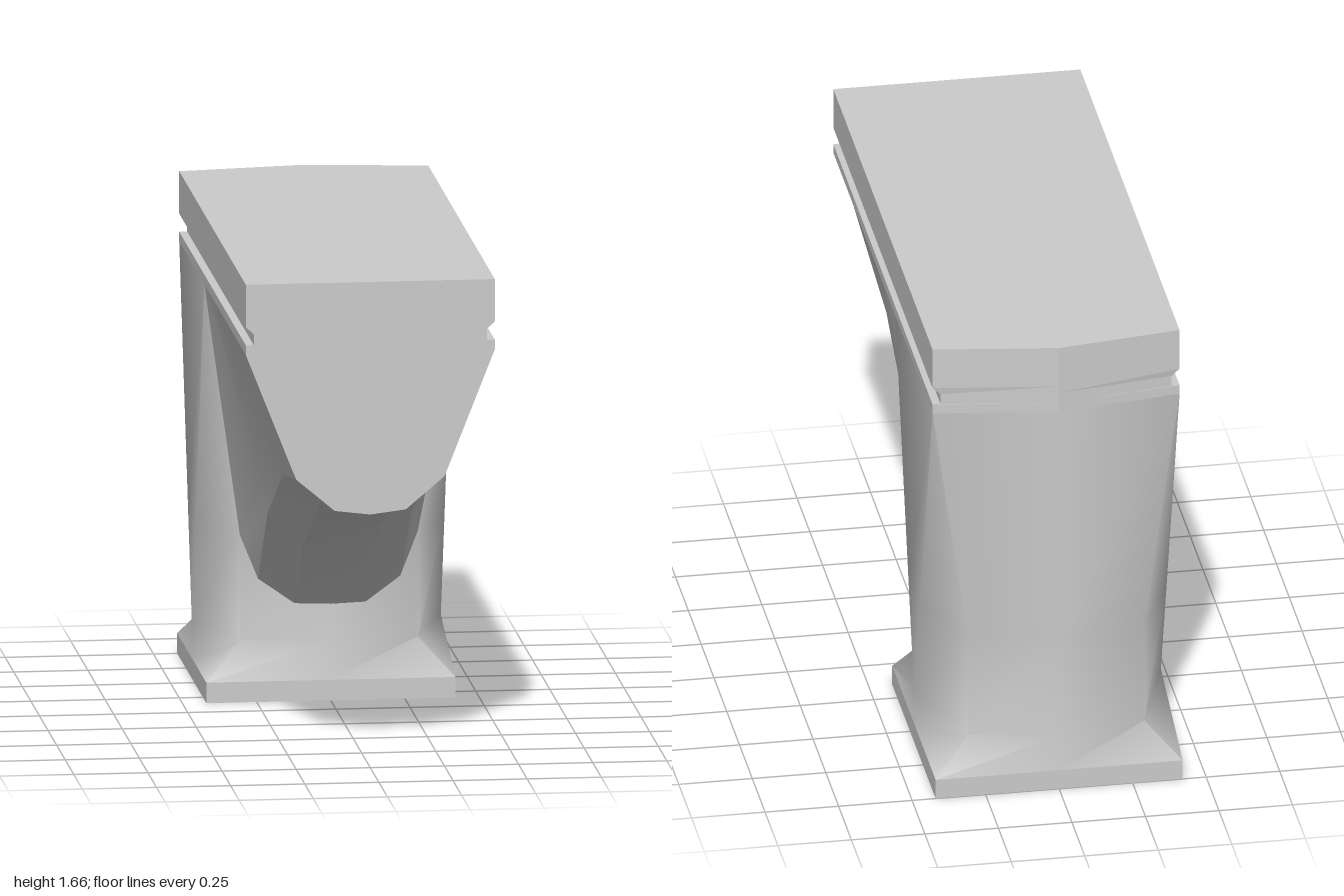
import * as THREE from 'three';
import { toCreasedNormals } from 'three/addons/utils/BufferGeometryUtils.js';

// Skin a stack of equal-length closed rings and cap the chosen ends
function loft(rings, capStart, capEnd, crease) {
  const pos = [];
  const tri = (a, b, c) => {
    const [A, B, C] = [a, b, c].map((p) => new THREE.Vector3(...p));
    if (B.sub(A).cross(C.sub(A)).length() > 1e-7) pos.push(...a, ...b, ...c);
  };
  const n = rings[0].length;
  for (let r = 0; r < rings.length - 1; r++) {
    for (let i = 0; i < n; i++) {
      const j = (i + 1) % n;
      const a = rings[r][i], b = rings[r][j], c = rings[r + 1][j], d = rings[r + 1][i];
      tri(a, b, c);
      tri(a, c, d);
    }
  }
  const first = rings[0], last = rings[rings.length - 1];
  for (let i = 1; i < n - 1; i++) {
    if (capStart) tri(first[0], first[i + 1], first[i]);
    if (capEnd) tri(last[0], last[i], last[i + 1]);
  }
  const geo = new THREE.BufferGeometry();
  geo.setAttribute('position', new THREE.Float32BufferAttribute(pos, 3));
  return toCreasedNormals(geo, crease);
}

export function createModel() {
  const group = new THREE.Group();
  const material = new THREE.MeshStandardMaterial({ color: 0xcccccc });
  const add = (name, geometry) => {
    const mesh = new THREE.Mesh(geometry, material);
    mesh.name = name;
    group.add(mesh);
    return mesh;
  };

  const W = 0.42, FRONT = -0.15, BACK = -1, CF = -0.21, CB = -0.94;
  const MID = (CF + CB) / 2;

  // Square foot slab
  add('foot', new THREE.BoxGeometry(2 * W, 0.07, FRONT - BACK))
    .position.set(0, 0.035, (FRONT + BACK) / 2);

  // Column: bowed faces whose sides flatten out towards the top
  const columnRing = (y, x, zf, zb, spread) => {
    const right = [[x, y, zf], [W, y, MID + spread], [W, y, MID - spread], [x, y, zb]];
    const left = right.map(([px, py, pz]) => [-px, py, pz]).reverse();
    return [[0, y, FRONT], ...right, [0, y, BACK], ...left];
  };
  const flat = (y) => ((CF - CB) / 2) * (y - 0.2) / 1.22;
  add('column', loft([
    columnRing(0.07, W, FRONT, BACK, 0),
    columnRing(0.2, 0.3, CF, CB, 0),
    columnRing(0.56, 0.3, CF, CB, flat(0.56)),
    columnRing(1.42, W, CF, CB, flat(1.42)),
  ], false, false, 1.2));

  // Half arch: each station lists the lower edge, underside and keel as [x, y, z]
  const stations = [
    [[0.3, 0.56, CF], [0.24, 0.41, -0.2], [0.12, 0.33, -0.174], [0, 0.33, FRONT]],
    [[0.27, 0.81, 0.12], [0.245, 0.7, 0.12], [0.12, 0.585, 0.09], [0, 0.575, 0.08]],
    [[0.275, 1.0, 0.61], [0.25, 0.93, 0.61], [0.12, 0.825, 0.59], [0, 0.81, 0.58]],
    [[0.276, 1.055, 1], [0.25, 0.99, 1], [0.12, 0.88, 1], [0, 0.865, 1]],
  ];
  const archRing = (pts) => {
    const half = [[W, 1.42, pts[0][2]], ...pts];
    const left = half.slice(0, -1).map(([x, y, z]) => [-x, y, z]);
    return [...left, ...half.reverse()];
  };
  add('archArm', loft(stations.map(archRing), false, true, 0.45));

  // Top beam with a groove along each side and a shallow pointed back
  const beamRing = ([w, y]) => [[-w, y, 1], [w, y, 1], [w, y, CB], [0, y, BACK], [-w, y, CB]];
  const beamProfile = [[W, 1.42], [W, 1.453], [0.393, 1.453], [0.393, 1.49], [W, 1.515], [W, 1.66]];
  add('topBeam', loft(beamProfile.map(beamRing), true, true, 0.1));

  return group;
}
